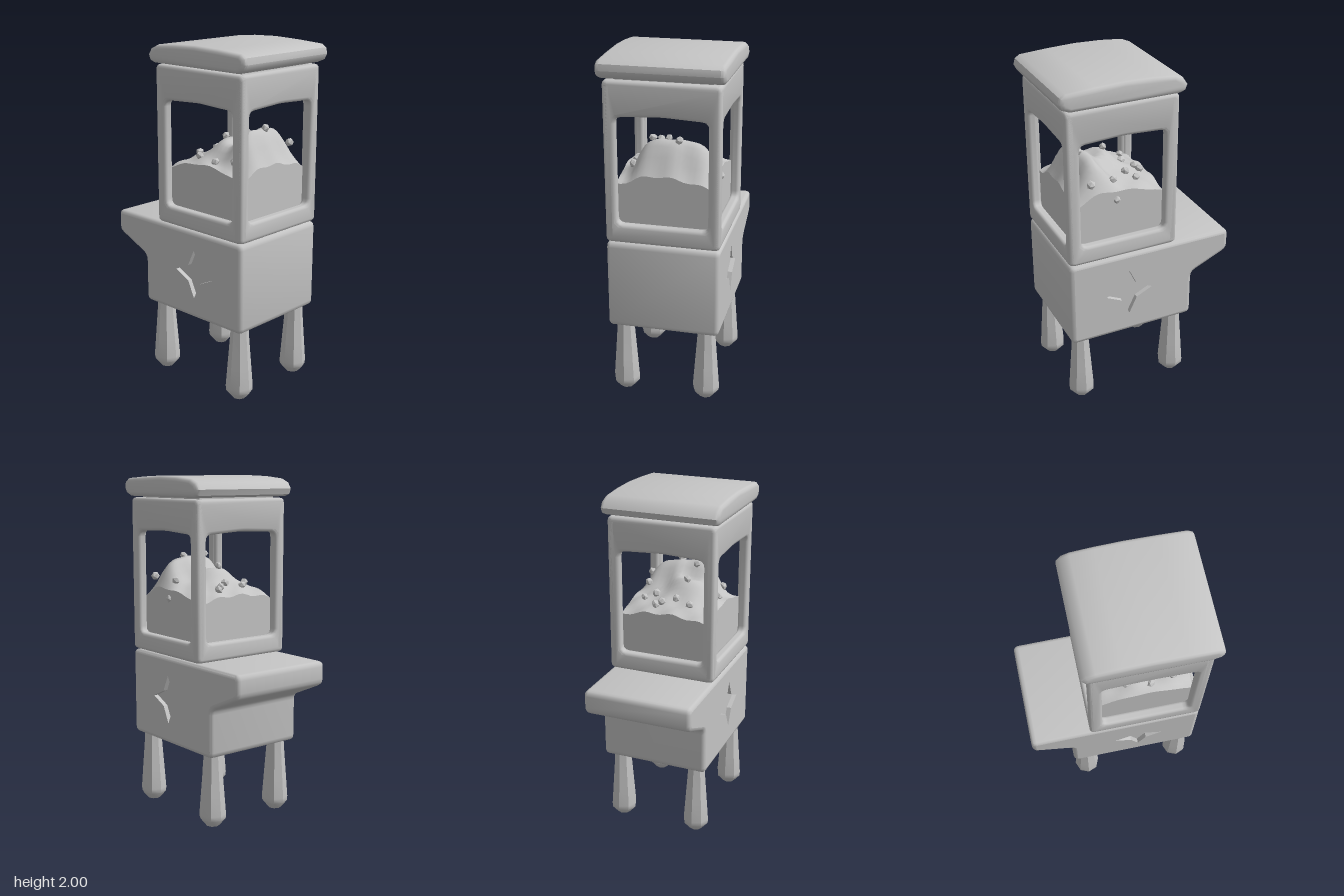
import * as THREE from 'three';
import { toCreasedNormals } from 'three/addons/utils/BufferGeometryUtils.js';

const V = (x, y) => new THREE.Vector2(x, y);

// Outline with every corner rounded off
function roundPoly(coords, r) {
  const pts = coords.map(([x, y]) => V(x, y));
  return pts.flatMap((p, i) => {
    const toward = (q) => p.clone().add(q.clone().sub(p).setLength(r));
    const prev = pts[(i + pts.length - 1) % pts.length];
    const next = pts[(i + 1) % pts.length];
    return new THREE.QuadraticBezierCurve(toward(prev), p, toward(next)).getPoints(3);
  });
}

// Moves a counter-clockwise outline inwards by b
function inset(pts, b) {
  const normal = (p, q) => { const d = q.clone().sub(p).normalize(); return V(-d.y, d.x); };
  return pts.map((p, i) => {
    const n1 = normal(pts[(i + pts.length - 1) % pts.length], p);
    const n2 = normal(p, pts[(i + 1) % pts.length]);
    const s = b / (1 + n1.dot(n2));
    return p.clone().add(n1.add(n2).multiplyScalar(s));
  });
}

// Bevelled slab of total thickness t, centred on its own z = 0
function slab(outline, t, b, hole) {
  const shape = new THREE.Shape(outline);
  if (hole) shape.holes.push(new THREE.Path(hole));
  const geo = new THREE.ExtrudeGeometry(shape, {
    depth: t - 2 * b, bevelEnabled: b > 0, bevelThickness: b, bevelSize: b,
    bevelOffset: -b, bevelSegments: 3,
  });
  return geo.translate(0, 0, -(t - 2 * b) / 2);
}

export function createModel() {
  const model = new THREE.Group();
  const grey = new THREE.MeshStandardMaterial({ color: 0xc4c4c4 });
  grey.name = 'light grey';

  const add = (name, geo, x = 0, y = 0, z = 0, parent = model) => {
    const mesh = new THREE.Mesh(geo, grey);
    mesh.name = name;
    mesh.position.set(x, y, z);
    parent.add(mesh);
    return mesh;
  };
  const smooth = (geo) => toCreasedNormals(geo, 0.75);
  const sideways = (geo) => geo.rotateY(-Math.PI / 2); // outline x becomes z

  // Legs: tapered clubs with pointed feet
  const legProfile = [[0, 0], [0.04, 0], [0.076, 0.042], [0.078, 0.07], [0.068, 0.2], [0.054, 0.38], [0.05, 0.45]];
  const legGeo = smooth(new THREE.LatheGeometry(legProfile.map(([x, y]) => V(x, y)), 8).toNonIndexed());
  for (const x of [-0.24, 0.24]) {
    add('frontLeg', legGeo, x, 0, 0.41);
    add('backLeg', legGeo, x, 0, -0.195);
  }

  // Lower body with the rear shelf; the flat ends are replaced by starred plates
  const bevel = 0.024;
  const bodyOutline = roundPoly([[0.49, 0.43], [0.49, 0.953], [-0.522, 0.953], [-0.522, 0.82], [-0.283, 0.715], [-0.283, 0.43]], 0.032);
  const fullBody = slab(bodyOutline, 0.644, bevel);
  const lidCount = fullBody.groups[0].count;
  const shell = new THREE.BufferGeometry();
  shell.setAttribute('position', new THREE.BufferAttribute(fullBody.attributes.position.array.slice(lidCount * 3), 3));
  add('body', smooth(sideways(shell)));

  const star = [];
  for (let i = 0; i < 8; i++) {
    const a = (i * Math.PI) / 4, r = i % 2 ? 0.066 : 0.145;
    star.push(V(0.127 + r * Math.cos(a), 0.697 + r * Math.sin(a)));
  }
  const plateGeo = sideways(slab(inset(bodyOutline, bevel), 0.03, 0, star));
  for (const s of [-1, 1]) add('starPlate', plateGeo, s * 0.307, 0, 0);
  add('starRecessFloor', new THREE.BoxGeometry(0.59, 0.36, 0.36), 0, 0.697, 0.127);

  // Display cabinet: four windowed panels sharing their corners
  const cabinet = new THREE.Group();
  cabinet.name = 'cabinet';
  model.add(cabinet);
  const windowHole = roundPoly([[-0.255, 1.065], [0.255, 1.065], [0.255, 1.675], [0, 1.688], [-0.255, 1.675]], 0.035);
  const panel = (w) => smooth(slab(
    roundPoly([[-w, 0.957], [w, 0.957], [w, 1.872], [-w, 1.872]], 0.03), 0.06, 0.02, windowHole));
  const frontGeo = panel(0.322), sideGeo = sideways(panel(0.33));
  for (const s of [-1, 1]) {
    add(s > 0 ? 'frontWindowPanel' : 'backWindowPanel', frontGeo, 0, 0, 0.16 + s * 0.3, cabinet);
    add('sideWindowPanel', sideGeo, s * 0.292, 0, 0.16, cabinet);
  }
  add('cabinetCeiling', new THREE.BoxGeometry(0.58, 0.04, 0.6), 0, 1.85, 0.16, cabinet);
  add('cabinetFloor', new THREE.BoxGeometry(0.58, 0.08, 0.6), 0, 0.999, 0.16, cabinet);

  // Roof: bowed slab
  const roofOutline = [[0.47, 1.88], [0.512, 1.897], [0.529, 1.93], [0.52, 1.965], [0.49, 1.984],
    [0.33, 1.994], [0.16, 2], [0, 1.995], [-0.13, 1.983], [-0.18, 1.962], [-0.205, 1.925], [-0.192, 1.892], [-0.16, 1.88]];
  add('roof', smooth(sideways(slab(roofOutline.map(([x, y]) => V(x, y)), 0.695, 0.025))));
  add('roofNeck', new THREE.BoxGeometry(0.54, 0.03, 0.56), 0, 1.875, 0.16);

  // Popcorn heap: a peaked ridge near the front over a gentle mound
  const bump = (x, z, cx, cz, w, d) => Math.exp(-(((x - cx) / w) ** 4) - ((z - cz) / d) ** 2);
  const heapHeight = (x, z) => {
    const mound = 1.375 - 0.5 * x * x - 0.8 * (z - 0.16) ** 2;
    return mound + 0.165 * bump(x, z, -0.06, 0.32, 0.12, 0.08)
      + 0.15 * bump(x, z, 0.14, 0.29, 0.11, 0.09)
      + 0.08 * bump(x, z, -0.05, 0.14, 0.12, 0.08)
      + 0.008 * Math.sin(x * 37) * Math.cos(z * 31);
  };
  const heapGeo = new THREE.BoxGeometry(0.54, 1, 0.54, 20, 1, 20);
  const pos = heapGeo.attributes.position;
  for (let i = 0; i < pos.count; i++) {
    const x = pos.getX(i), z = pos.getZ(i);
    pos.setY(i, pos.getY(i) > 0 ? heapHeight(x, z + 0.16) : 1.03);
  }
  heapGeo.computeVertexNormals();
  add('popcornHeap', heapGeo, 0, 0, 0.16);

  // Loose popcorn kernels lying on the heap
  const kernelGeo = new THREE.IcosahedronGeometry(0.026, 0);
  const kernels = [[-0.09, 0.31], [-0.05, 0.28], [-0.2, 0.33], [-0.22, 0.2], [0.22, 0.18], [0.12, 0.06], [0.18, 0.02],
    [0.05, -0.03], [-0.02, 0.02], [-0.12, -0.02], [-0.2, 0.06], [0.08, -0.05], [-0.05, 0.12], [0.06, 0.32]];
  kernels.forEach(([x, z], i) => {
    const k = add('popcornKernel', kernelGeo, x, heapHeight(x, z) + 0.012, z);
    k.rotation.set(i * 1.3, i * 2.1, i * 0.7);
    k.scale.set(1, 0.8 + 0.15 * (i % 3), 0.85);
  });
  // Kernels pressed against the side window
  for (const [y, z] of [[1.29, 0.18], [1.41, 0.33]]) add('popcornKernel', kernelGeo, 0.262, y, z);

  return model;
}
